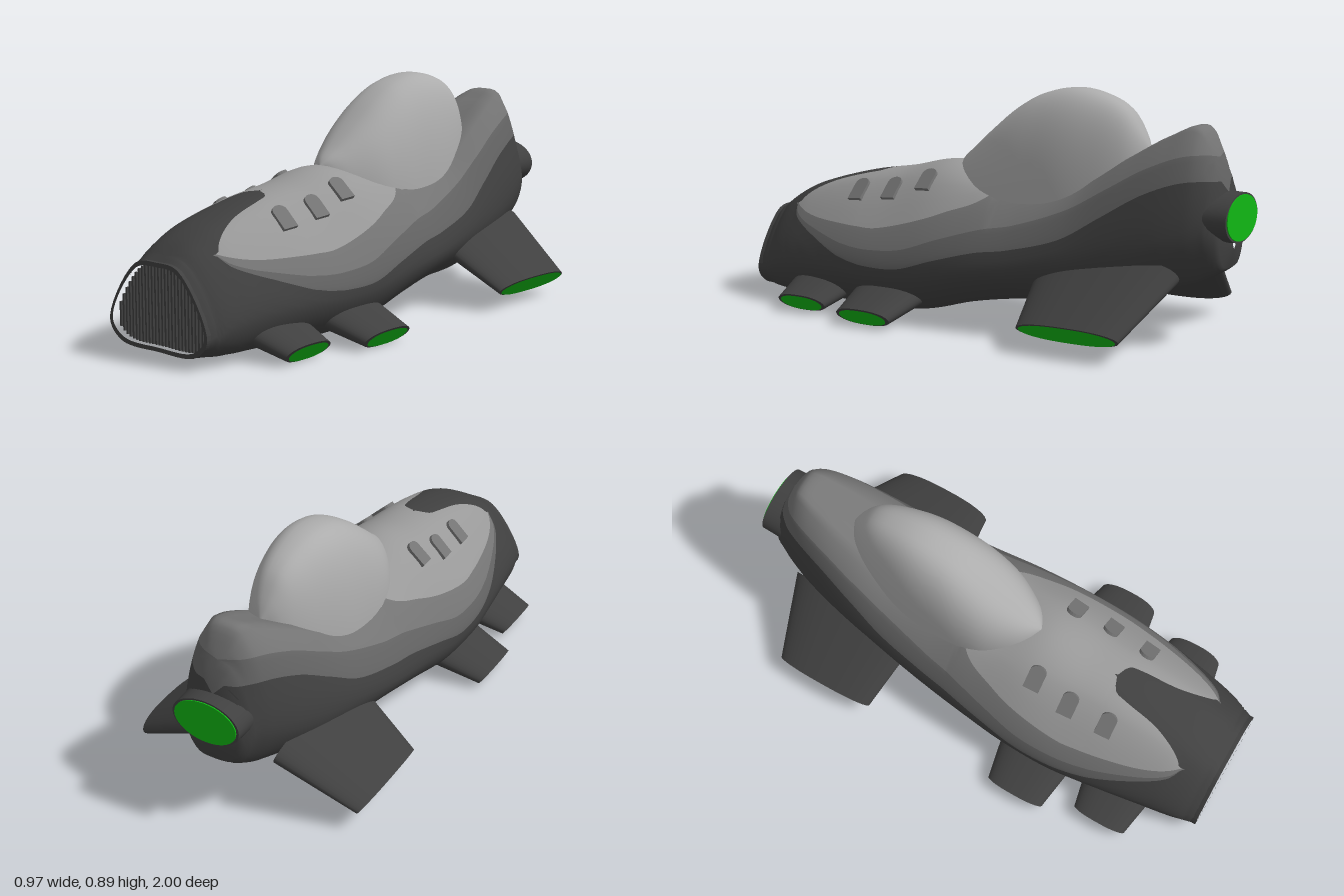
import * as THREE from 'three';
import { mergeVertices } from 'three/addons/utils/BufferGeometryUtils.js';

const V = (x, y, z) => new THREE.Vector3(x, y, z);
const paint = (name, color) => Object.assign(new THREE.MeshStandardMaterial({ color }), { name });

// Smooth interpolation of a table whose rows are [z, values...], z descending
function sample(table, z) {
  const n = table.length - 1;
  let i = 0;
  while (i < n - 1 && z < table[i + 1][0]) i++;
  const a = table[i], b = table[i + 1], p = table[Math.max(i - 1, 0)], q = table[Math.min(i + 2, n)];
  const h = b[0] - a[0], t = THREE.MathUtils.clamp((z - a[0]) / h, 0, 1), t2 = t * t, t3 = t2 * t;
  return a.slice(1).map((va, k) => {
    const vb = b[k + 1];
    const ma = ((vb - p[k + 1]) / (b[0] - p[0])) * h, mb = ((q[k + 1] - va) / (q[0] - a[0])) * h;
    return va * (2 * t3 - 3 * t2 + 1) + ma * (t3 - 2 * t2 + t) + vb * (3 * t2 - 2 * t3) + mb * (t3 - t2);
  });
}

// Skin over rows of points; slotOf(column) picks the material group
function loft(rows, slotOf = () => 0) {
  const w = rows[0].length, lists = [];
  for (let i = 0; i < rows.length - 1; i++) for (let j = 0; j < w - 1; j++) {
    const a = i * w + j, c = a + w;
    (lists[slotOf(j)] ??= []).push(a, a + 1, c + 1, a, c + 1, c);
  }
  let geo = new THREE.BufferGeometry().setFromPoints(rows.flat());
  geo.setIndex(lists.flat());
  let start = 0;
  lists.forEach((l, k) => { geo.addGroup(start, l.length, k); start += l.length; });
  geo = mergeVertices(geo, 1e-5);
  geo.computeVertexNormals();
  return geo;
}

// Hull stations: z, top y, shoulder x y, widest x y, bottom corner x, bottom y
const HULL = [
  [0.985, 0.345, 0.11, 0.328, 0.245, 0.11, 0.19, 0.032],
  [0.9, 0.41, 0.12, 0.38, 0.27, 0.15, 0.22, 0.03],
  [0.8, 0.455, 0.125, 0.425, 0.29, 0.17, 0.23, 0.028],
  [0.6, 0.51, 0.13, 0.475, 0.325, 0.18, 0.24, 0.024],
  [0.4, 0.545, 0.14, 0.5, 0.35, 0.18, 0.25, 0.02],
  [0.2, 0.585, 0.16, 0.52, 0.35, 0.19, 0.25, 0.035],
  [0, 0.55, 0.17, 0.5, 0.335, 0.22, 0.24, 0.085],
  [-0.2, 0.5, 0.16, 0.495, 0.31, 0.24, 0.2, 0.11],
  [-0.4, 0.54, 0.15, 0.535, 0.28, 0.28, 0.17, 0.115],
  [-0.6, 0.66, 0.13, 0.65, 0.245, 0.32, 0.15, 0.15],
  [-0.75, 0.75, 0.1, 0.735, 0.21, 0.36, 0.12, 0.195],
  [-0.85, 0.785, 0.07, 0.765, 0.175, 0.4, 0.1, 0.225],
  [-0.9, 0.7, 0.06, 0.68, 0.15, 0.42, 0.09, 0.25],
  [-0.94, 0.58, 0.06, 0.56, 0.125, 0.41, 0.08, 0.275],
  [-0.965, 0.44, 0.05, 0.43, 0.08, 0.38, 0.05, 0.3],
  [-0.97, 0.38, 0.01, 0.378, 0.012, 0.37, 0.01, 0.355],
];
// Colour borders: z, hood x, then y of panel, band and stripe lower edges
const LINES = [
  [1, 0.17, 0.37, 0.37, 0.37], [0.87, 0.17, 0.375, 0.372, 0.37], [0.84, 0.14, 0.365, 0.345, 0.335],
  [0.78, 0.11, 0.35, 0.32, 0.305], [0.7, 0.085, 0.34, 0.3, 0.275], [0.56, 0.066, 0.335, 0.27, 0.225],
  [0.515, 0.05, 0.334, 0.265, 0.215], [0.492, 0, 0.334, 0.262, 0.21], [0.4, 0, 0.336, 0.26, 0.2],
  [0.25, 0, 0.37, 0.275, 0.205], [0.1, 0, 0.42, 0.325, 0.25], [-0.07, 0, 0.5, 0.375, 0.295],
  [-0.2, 0, 0.7, 0.4, 0.315], [-0.4, 0, 1, 0.47, 0.37], [-0.55, 0, 1, 0.555, 0.46],
  [-0.7, 0, 1, 0.64, 0.55], [-0.85, 0, 1, 0.69, 0.6], [-1, 0, 1, 0.67, 0.59],
];
const N = 200;

// Half cross-section from top centre to bottom centre
function section(z) {
  const [yt, xs, ys, xw, yw, xb, yb] = sample(HULL, z), yc = yb + 0.012;
  const curve = new THREE.CatmullRomCurve3([V(-xs, ys, z), V(0, yt, z), V(xs, ys, z), V(xw, yw, z),
    V(xb, yc, z), V(0, yb, z), V(-xb, yc, z)], false, 'centripetal');
  return Array.from({ length: N + 1 }, (_, i) => curve.getPoint(1 / 6 + (i / N) * (4 / 6)));
}
function at(pts, t) {
  const i = Math.min(Math.floor(t), N - 1);
  return pts[i].clone().lerp(pts[i + 1], t - i);
}
// Fractional index where a measure first passes zero
function cross(pts, f) {
  if (f(pts[0]) >= 0) return 0;
  const i = pts.findIndex((p) => f(p) >= 0);
  if (i < 0) return N;
  const a = f(pts[i - 1]), b = f(pts[i]);
  return i - 1 + a / (a - b);
}
const surface = (z, x) => { const s = section(z); return at(s, cross(s, (p) => p.x - x)); };
const flip = (p) => V(-p.x, p.y, p.z);

export function createModel() {
  const model = new THREE.Group();
  const dark = paint('dark hull', 0x404040), light = paint('light panel', 0x999999);
  const mid = paint('grey band', 0x747474), stripe = paint('lower stripe', 0x626262);
  const glass = paint('canopy grey', 0xacacac), glow = paint('green glow', 0x10b814);
  const black = paint('grille black', 0x2c2c2c);
  const add = (name, geo, mat) => {
    const mesh = new THREE.Mesh(geo, mat);
    mesh.name = name;
    model.add(mesh);
    return mesh;
  };

  // Hull with hood, panel, band, stripe and lower body
  const segs = [6, 8, 4, 4, 18], slots = segs.flatMap((n, k) => Array(n).fill([0, 1, 2, 3, 0][k]));
  const half = slots.length, rows = [];
  for (let i = 0; i <= 160; i++) {
    const z = 0.985 - (i / 160) * 1.955, s = section(z), [hx, ya, yb, yc] = sample(LINES, z);
    const tC = cross(s, (p) => yc - p.y);
    const below = (y) => (z > 0.87 ? tC : Math.min(tC, cross(s, (p) => y - p.y)));
    const tB = below(yb), tA = Math.min(tB, below(ya));
    const tH = z > 0.87 ? tC : hx < 0.002 ? 0 : Math.min(tA, cross(s, (p) => p.x - hx));
    const stops = [0, tH, tA, tB, tC, N], right = [];
    segs.forEach((n, k) => {
      for (let j = 0; j < n; j++) right.push(at(s, stops[k] + ((stops[k + 1] - stops[k]) * j) / n));
    });
    right.push(s[N]);
    rows.push([...right.slice(1).reverse().map(flip), ...right]);
  }
  add('hull', loft(rows, (j) => slots[j >= half ? j - half : half - 1 - j]), [dark, light, mid, stripe]);

  // Canopy: z, half width, top y, base y
  const CANOPY = [[0.175, 0, 0.575, 0.5], [0.15, 0.06, 0.605, 0.46], [0.1, 0.11, 0.645, 0.45], [0, 0.165, 0.73, 0.44],
    [-0.1, 0.185, 0.81, 0.43], [-0.2, 0.187, 0.865, 0.43], [-0.33, 0.178, 0.892, 0.44], [-0.45, 0.15, 0.875, 0.47],
    [-0.55, 0.11, 0.825, 0.52], [-0.61, 0.065, 0.74, 0.56], [-0.645, 0, 0.66, 0.6]];
  const dome = [];
  for (let i = 0; i <= 48; i++) {
    const z = 0.175 - 0.41 * (1 - Math.cos((i / 48) * Math.PI)), [w, top, base] = sample(CANOPY, z);
    dome.push(Array.from({ length: 33 }, (_, j) => {
      const a = (j / 32) * Math.PI, c = Math.cos(a);
      return V(-Math.sign(c) * w * Math.abs(c) ** 0.8, base + (top - base) * Math.abs(Math.sin(a)) ** 0.85, z);
    }));
  }
  add('canopy', loft(dome), glass);

  // Nose frame, recessed glow and grille bars
  const s = section(0.985);
  const outline = [...s.filter((_, i) => i % 5 === 0), ...s.filter((_, i) => i % 5 === 0 && i > 0 && i < N).reverse().map(flip)]
    .map((p) => new THREE.Vector2(p.x, p.y));
  const hole = outline.map((p) => new THREE.Vector2(p.x * 0.94, 0.185 + (p.y - 0.185) * 0.9));
  const frame = new THREE.Shape(outline);
  frame.holes.push(new THREE.Path(hole));
  add('noseFrame', new THREE.ExtrudeGeometry(frame, { depth: 0.08, bevelEnabled: false }).translate(0, 0, 0.92), dark);
  add('grilleBack', new THREE.ShapeGeometry(new THREE.Shape(hole)).translate(0, 0, 0.925), black);
  add('noseGlow', new THREE.CircleGeometry(1, 40).scale(0.127, 0.084, 1).translate(0, 0.234, 0.93), glow);
  for (let k = -13; k <= 13; k++) {
    const x = k * 0.0165, ys = [];
    hole.forEach((p, i) => {
      const q = hole[(i + 1) % hole.length];
      if ((p.x - x - 1e-4) * (q.x - x - 1e-4) < 0) ys.push(p.y + ((q.y - p.y) * (x + 1e-4 - p.x)) / (q.x - p.x));
    });
    if (ys.length < 2) continue;
    const lo = Math.min(...ys), hi = Math.max(...ys);
    add('grilleBar', new THREE.BoxGeometry(0.008, hi - lo, 0.045).translate(x, (lo + hi) / 2, 0.955), dark);
  }

  // Drooping fins with glowing tips, both sides
  function fin(name, sx, root, tip, glowScale) {
    const ring = (f, k = 1, out = 0) => Array.from({ length: 37 }, (_, i) => {
      const a = (i / 36) * Math.PI * 2, c = Math.cos(a), n = Math.sin(a) * k;
      return V(sx * (f.x + f.tx * n + out * 0.8), f.y + f.ty * n - out * 0.6,
        f.z - sx * Math.sign(c) * Math.abs(c) ** 0.8 * f.chord * k);
    });
    add(name, loft([ring(root), ring(tip)]), dark);
    add(name + 'Tip', loft([ring(tip), ring(tip, 0)]), dark);
    add(name + 'Glow', loft([ring(tip, glowScale, 0.003), ring(tip, 0, 0.003)]), glow);
  }
  for (const sx of [1, -1]) {
    fin('frontFin', sx, { x: 0.2, y: 0.1, z: 0.665, tx: 0, ty: 0.06, chord: 0.15 },
      { x: 0.395, y: 0.036, z: 0.665, tx: 0.025, ty: 0.034, chord: 0.11 }, 0.88);
    fin('middleFin', sx, { x: 0.22, y: 0.11, z: 0.325, tx: 0, ty: 0.065, chord: 0.165 },
      { x: 0.462, y: 0.034, z: 0.325, tx: 0.025, ty: 0.034, chord: 0.12 }, 0.88);
    fin('rearFin', sx, { x: 0.17, y: 0.26, z: -0.56, tx: 0.02, ty: 0.065, chord: 0.28 },
      { x: 0.46, y: 0.08, z: -0.55, tx: 0.026, ty: 0.033, chord: 0.205 }, 0.95);
  }

  // Arched vents laid on the side panels
  const arch = new THREE.Shape();
  arch.moveTo(-0.032, -0.05).lineTo(0.032, -0.05).lineTo(0.032, 0.025);
  arch.bezierCurveTo(0.032, 0.06, -0.032, 0.06, -0.032, 0.025);
  const ventGeo = new THREE.ExtrudeGeometry(arch, { depth: 0.016, bevelEnabled: false, curveSegments: 8 }).translate(0, 0, -0.006);
  for (const [x, z] of [[0.165, 0.545], [0.172, 0.385], [0.157, 0.235]]) for (const sx of [1, -1]) {
    const p = surface(z, x), up = surface(z, x - 0.03).sub(surface(z, x + 0.03)).normalize();
    const fore = surface(z + 0.03, x).sub(surface(z - 0.03, x));
    const normal = fore.cross(up).normalize();
    if (normal.y < 0) normal.negate();
    for (const v of [p, up, normal]) v.x *= sx;
    const vent = add('vent', ventGeo, mid);
    vent.quaternion.setFromRotationMatrix(new THREE.Matrix4().makeBasis(up.clone().cross(normal), up, normal));
    vent.position.copy(p);
  }

  // Oval tail thruster
  const oval = (geo) => geo.rotateX(-Math.PI / 2).scale(0.14, 0.092, 1);
  add('tailThruster', oval(new THREE.CylinderGeometry(0.97, 1.02, 0.16, 40)).translate(0, 0.468, -0.916), dark);
  add('tailGlow', oval(new THREE.CylinderGeometry(0.9, 0.9, 0.006, 40)).translate(0, 0.468, -0.997), glow);
  return model;
}
